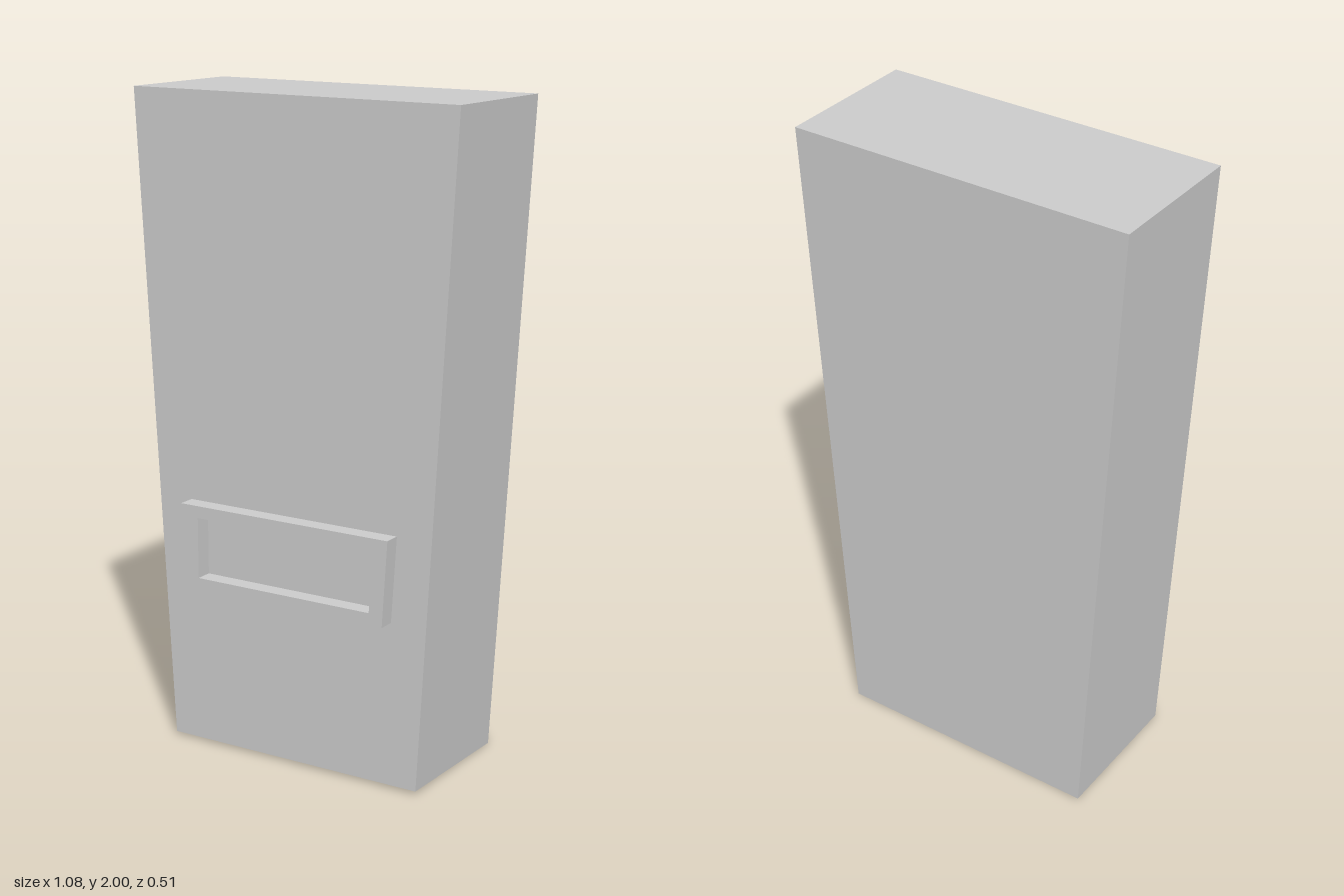
import * as THREE from 'three';

const material = new THREE.MeshStandardMaterial({ color: 0xcccccc, flatShading: true });

// Tapered slab: a box whose corners are moved to a wider top and slightly leaning ends
function taperedBody() {
  const geometry = new THREE.BoxGeometry(2, 2, 2);
  const p = geometry.attributes.position;
  for (let i = 0; i < p.count; i++) {
    const top = p.getY(i) > 0, front = p.getZ(i) > 0;
    const x = Math.sign(p.getX(i)) * (top ? 0.542 : 0.428);
    const y = top ? (front ? 2 : 1.995) : (front ? 0.01 : 0);
    const z = front ? (top ? 0.2 : 0.203) : (top ? -0.256 : -0.25);
    p.setXYZ(i, x, y, z);
  }
  geometry.computeVertexNormals();
  return geometry;
}

// Symmetric four-sided outline from bottom and top half widths
function outline(Type, bottom, top, y0, y1) {
  return new Type([
    [-bottom, y0], [bottom, y0], [top, y1], [-top, y1],
  ].map(([x, y]) => new THREE.Vector2(x, y)));
}

// Raised rim around a rectangular opening
function frameGeometry() {
  const shape = outline(THREE.Shape, 0.341, 0.358, 0.513, 0.775);
  shape.holes.push(outline(THREE.Path, 0.298, 0.298, 0.55, 0.738));
  const geometry = new THREE.ExtrudeGeometry(shape, { depth: 0.054, bevelEnabled: false });
  return geometry.translate(0, 0, 0.201);
}

export function createModel() {
  const model = new THREE.Group();
  model.name = 'taperedPanel';
  const parts = { body: taperedBody(), raisedFrame: frameGeometry() };
  for (const [name, geometry] of Object.entries(parts)) {
    const mesh = new THREE.Mesh(geometry, material);
    mesh.name = name;
    model.add(mesh);
  }
  return model;
}
